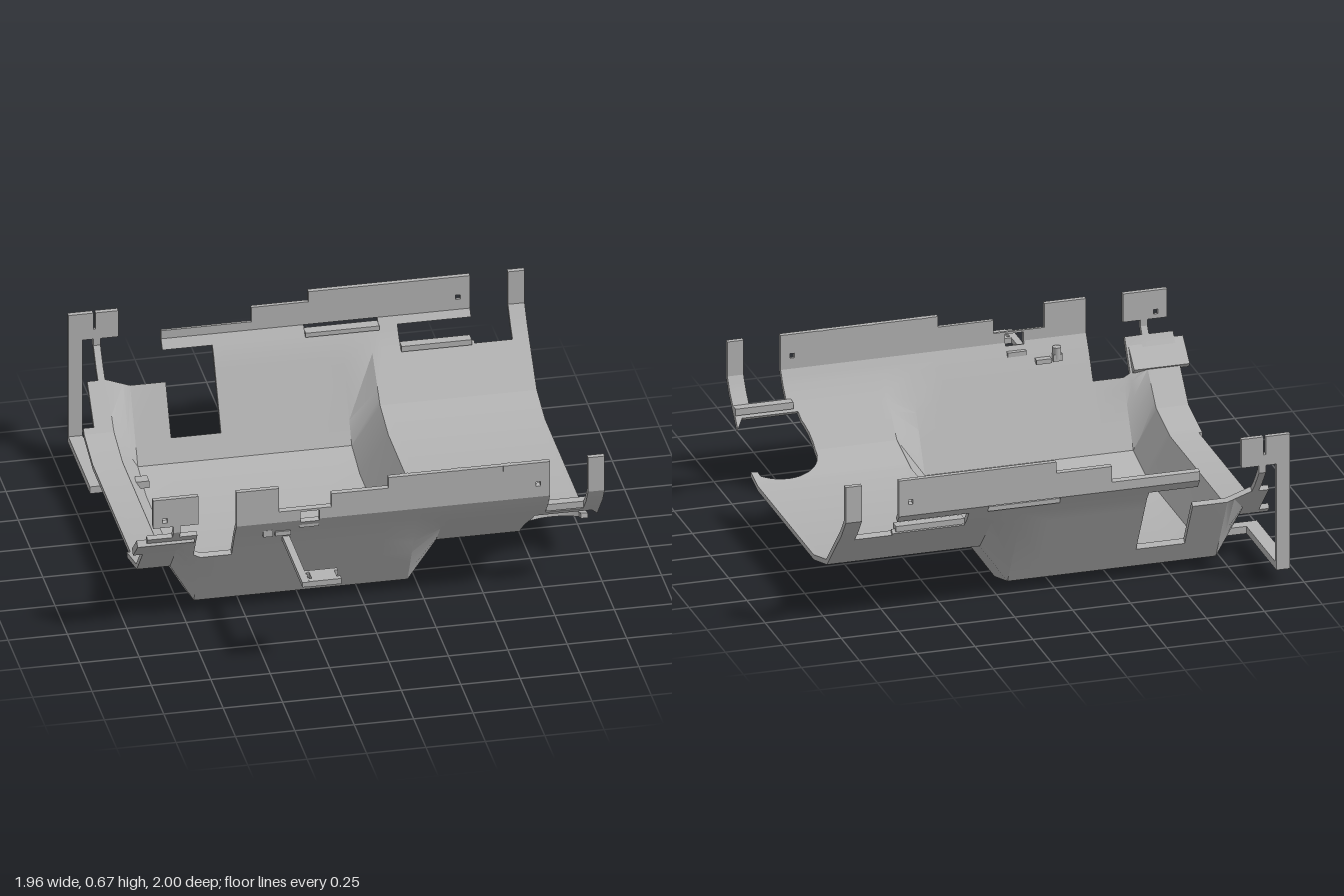
import * as THREE from 'three';
import { toCreasedNormals } from 'three/addons/utils/BufferGeometryUtils.js';

const THICK = 0.022;
const lerp = (a, b, t) => a + (b - a) * t;

// Height of the tray floor along x: deep well in the middle, shallow at both ends
function floorY(x) {
  const stops = [[-1, 0.172], [-0.8, 0.172], [-0.7, 0], [0.2, 0], [0.32, 0.172], [1, 0.172]];
  let i = 0;
  while (i < stops.length - 2 && x > stops[i + 1][0]) i++;
  const [a, b] = [stops[i], stops[i + 1]];
  return lerp(a[1], b[1], (x - a[0]) / (b[0] - a[0]));
}

// Outer cross-section as [z, y], from the front wall, under the floor, to the back wall
function section(x) {
  const b = floorY(x);
  return [[0.65, 0.67], [0.65, 0.51], [0.61, 0.445], [0.41, b + 0.05], [0.21, b],
    [-0.56, b], [-0.74, b + 0.05], [-0.94, 0.43], [-1, 0.51], [-1, 0.67]];
}

// The same cross-section moved inwards by the sheet thickness
function innerSection(pts) {
  const normal = (a, b) => {
    const dz = b[0] - a[0], dy = b[1] - a[1], l = Math.hypot(dz, dy);
    return [dy / l, -dz / l];
  };
  const last = pts.length - 1;
  return pts.map((p, i) => {
    const n1 = normal(pts[Math.max(i - 1, 0)], pts[Math.max(i, 1)]);
    const n2 = normal(pts[Math.min(i, last - 1)], pts[Math.min(i + 1, last)]);
    const k = THICK / (1 + n1[0] * n2[0] + n1[1] * n2[1]);
    return [p[0] + (n1[0] + n2[0]) * k, p[1] + (n1[1] + n2[1]) * k];
  });
}

function pointOn(x, v, inner) {
  let pts = section(x);
  if (inner) pts = innerSection(pts);
  const i = Math.min(Math.floor(v), pts.length - 2), t = v - i;
  return [x, lerp(pts[i][1], pts[i + 1][1], t), lerp(pts[i][0], pts[i + 1][0], t)];
}

// Cut-outs as [x0, x1, v0, v1], where v runs along the cross-section
const cuts = [
  // front wall: steps, gaps, window, bolt holes
  [0.75, 0.91, 0, 2.3], [-0.17, 0.07, 0, 0.31], [-0.39, -0.17, 0, 0.69], [-0.73, -0.57, 0, 2.3],
  [-0.3, -0.22, 0.75, 1.2], [0.69, 0.71, 0.56, 0.69],
  [-0.94, -0.92, 0, 1.5], [-0.92, -0.835, 0.82, 1.5], [-0.805, -0.73, 0.82, 1.5],
  [-0.88, -0.86, 0.56, 0.69],
  // back wall: steps, gaps, slots, bolt holes
  [0.75, 0.91, 6.8, 9], [0.44, 0.75, 6.85, 7.6], [0.05, 0.36, 7.75, 8],
  [-0.17, 0.07, 8.69, 9], [-0.55, -0.17, 8.25, 9], [-0.55, -0.34, 6.25, 7.5],
  [-0.73, -0.55, 6.8, 9], [-0.88, -0.835, 6.8, 8.2], [-0.805, -0.73, 6.8, 8.2],
  [-0.835, -0.825, 8.5, 9], [-0.94, -0.88, 6.1, 9], [0.69, 0.71, 8.31, 8.44],
  // shallow step along the left rim
  [-0.94, -0.925, 4, 6.1],
];
// Round access opening in the front right corner, seen from above
const hole = { x: 0.84, z: 0.405, r: 0.168, top: 2.4 };

function zToV(z) {
  return z > 0.41 ? 2 + (0.61 - z) / 0.2 : 3 + (0.41 - z) / 0.2;
}

// Pull a nearby grid point on to the rim of the round opening
function snapToHole(x, v) {
  if (v <= hole.top || v >= 4 || x < 0.6) return [x, v];
  const dx = x - hole.x, dz = pointOn(x, v)[2] - hole.z, d = Math.hypot(dx, dz);
  if (x > 0.97) {
    const rim = Math.sqrt(hole.r ** 2 - dx ** 2);
    return Math.abs(Math.abs(dz) - rim) < 0.0165 ? [x, zToV(hole.z + Math.sign(dz) * rim)] : [x, v];
  }
  if (Math.abs(d - hole.r) >= 0.016) return [x, v];
  return [hole.x + dx * hole.r / d, zToV(hole.z + dz * hole.r / d)];
}

function trayGeometry() {
  const uniq = (a) => [...new Set(a.map((n) => +n.toFixed(4)))].sort((p, q) => p - q);
  const xs = [-0.94, -0.8, -0.7, 0.2, 0.32];
  const vs = [0, 1, 2, 3, 4, 5, 6, 7, 8, 9];
  cuts.forEach(([a, b, c, d]) => { xs.push(a, b); vs.push(c, d); });
  for (let i = 0; i <= 12; i++) xs.push(lerp(0.64, 0.98, i / 12));
  for (let i = 0; i <= 10; i++) vs.push(lerp(hole.top, 4, i / 10));
  const X = uniq(xs), V = uniq(vs), verts = [];
  for (const v of V) for (const x of X) verts.push(snapToHole(x, v));

  const removed = (tri) => {
    const cx = tri.reduce((s, i) => s + verts[i][0], 0) / 3;
    const cv = tri.reduce((s, i) => s + verts[i][1], 0) / 3;
    if (cuts.some(([a, b, c, d]) => cx > a && cx < b && cv > c && cv < d)) return true;
    if (cv < hole.top || cv > 4) return false;
    return Math.hypot(cx - hole.x, pointOn(cx, cv)[2] - hole.z) < hole.r;
  };
  const tris = [], n = X.length;
  for (let j = 0; j < V.length - 1; j++) for (let i = 0; i < n - 1; i++) {
    const a = j * n + i, b = a + 1, c = b + n, d = a + n;
    for (const t of [[a, b, c], [a, c, d]]) if (!removed(t)) tris.push(t);
  }
  const inner = verts.map(([x, v]) => pointOn(x, v, true));
  const outer = verts.map(([x, v]) => pointOn(x, v, false));
  const edges = new Set(), pos = [];
  const put = (...p) => p.forEach((q) => pos.push(...q));
  tris.forEach((t) => t.forEach((p, k) => edges.add(p + '_' + t[(k + 1) % 3])));
  for (const t of tris) {
    const [a, b, c] = t;
    put(inner[a], inner[b], inner[c], outer[a], outer[c], outer[b]);
    // close the sheet edge wherever there is no neighbour
    t.forEach((p, k) => {
      const q = t[(k + 1) % 3];
      if (edges.has(q + '_' + p)) return;
      put(inner[q], inner[p], outer[p], inner[q], outer[p], outer[q]);
    });
  }
  const g = new THREE.BufferGeometry();
  g.setAttribute('position', new THREE.Float32BufferAttribute(pos, 3));
  return toCreasedNormals(g, 0.4);
}

export function createModel() {
  const group = new THREE.Group();
  const metal = new THREE.MeshStandardMaterial({ color: 0xb3b3b3 });
  metal.name = 'light grey metal';
  const add = (name, geo) => {
    const m = new THREE.Mesh(geo, metal);
    m.name = name;
    group.add(m);
    return m;
  };
  const box = (name, x0, x1, y0, y1, z0, z1) => {
    const m = add(name, new THREE.BoxGeometry(x1 - x0, y1 - y0, z1 - z0));
    m.position.set((x0 + x1) / 2, (y0 + y1) / 2, (z0 + z1) / 2);
    return m;
  };

  add('tray', trayGeometry());

  // Corner post with its lower bracket, whose crossbar pierces the floor step
  box('cornerPost', -0.94, -0.88, 0.068, 0.67, -1, -0.978);
  box('postFoot', -0.94, -0.88, 0.068, 0.1, -0.978, -0.54);
  box('postCrossbar', -0.88, -0.69, 0.068, 0.1, -0.59, -0.54);

  // Front arm ending in a slotted foot
  box('frontArm', -0.365, -0.335, 0.39, 0.412, 0.57, 1);
  const foot = new THREE.Shape();
  foot.moveTo(-0.335, 0.905).lineTo(-0.2, 0.905).lineTo(-0.2, 0.925).lineTo(-0.215, 0.925)
    .lineTo(-0.215, 0.975).lineTo(-0.2, 0.975).lineTo(-0.2, 1).lineTo(-0.335, 1);
  const slot = new THREE.Path();
  slot.moveTo(-0.332, 0.92).lineTo(-0.332, 0.975).lineTo(-0.32, 0.975).lineTo(-0.32, 0.92);
  foot.holes.push(slot);
  const footGeo = new THREE.ExtrudeGeometry(foot, { depth: 0.025, bevelEnabled: false });
  footGeo.rotateX(Math.PI / 2);
  add('armFoot', footGeo).position.y = 0.414;
  box('armRoot', -0.4, -0.335, 0.43, 0.45, 0.56, 0.62);

  // Sill under the wall window
  box('windowSill', -0.3, -0.22, 0.465, 0.485, 0.59, 0.63);

  // Ledge on the front left corner
  const ledge = box('cornerLedge', -0.98, -0.74, 0.395, 0.425, 0.5, 0.63);
  ledge.rotation.x = -0.75;

  // Tabs pressed out of the walls
  box('backTabWide', 0.44, 0.735, 0.405, 0.43, -0.912, -0.868);
  box('backTab', 0.05, 0.36, 0.48, 0.5, -0.985, -0.935);
  box('frontTab', 0.73, 0.98, 0.385, 0.415, 0.515, 0.555);

  // Clips along the top of the front wall
  for (const x of [0.14, 0.36, 0.57]) box('wallClip', x - 0.017, x + 0.017, 0.645, 0.67, 0.625, 0.651);

  // Small stud inside the front wall
  box('studBase', -0.45, -0.41, 0.43, 0.46, 0.57, 0.62);
  const stud = add('stud', new THREE.CylinderGeometry(0.018, 0.018, 0.05, 16));
  stud.position.set(-0.43, 0.465, 0.585);
  return group;
}
